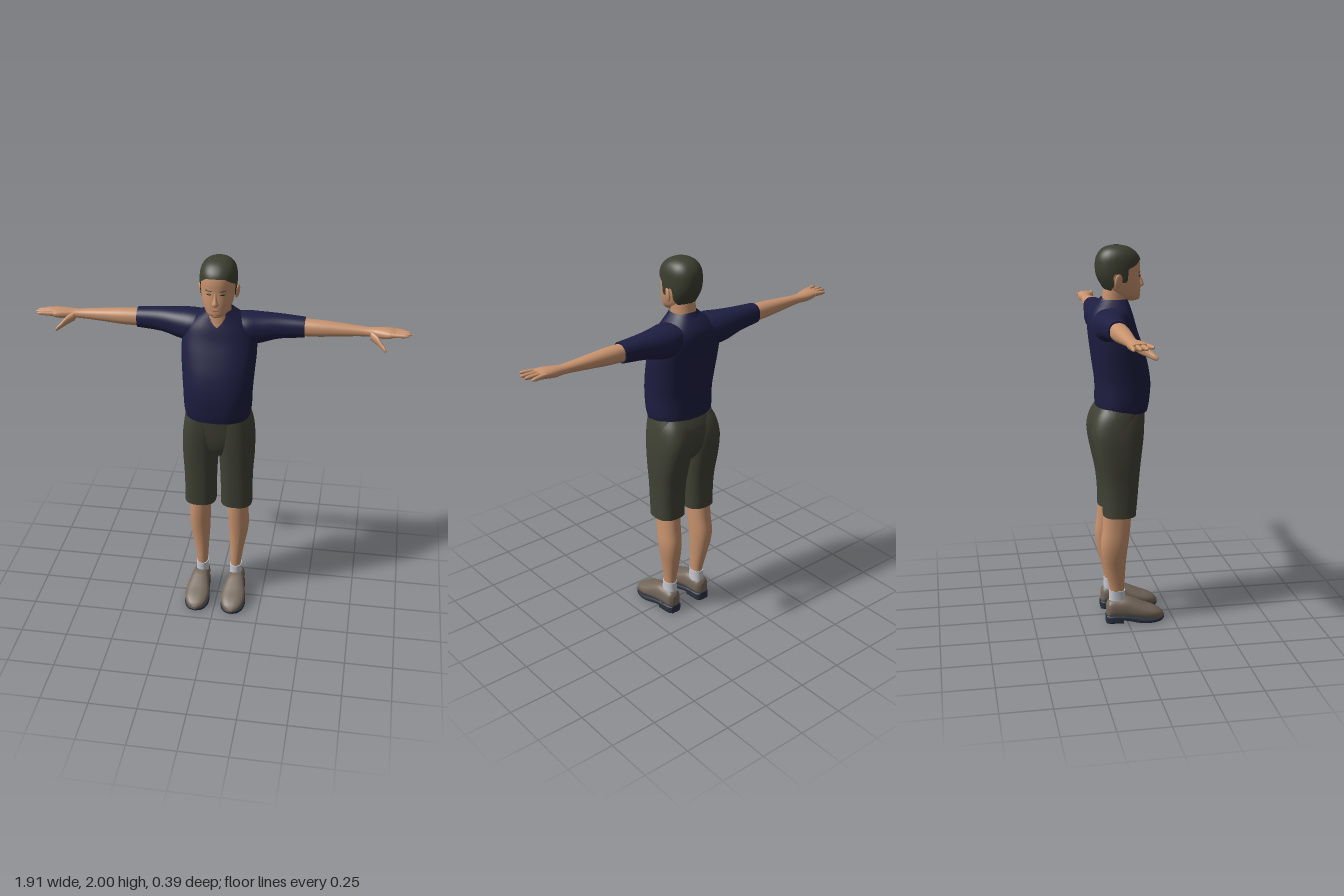
import * as THREE from 'three';

const mat = (name, color) => Object.assign(new THREE.MeshStandardMaterial({ color }), { name });

// Smooth interpolation of sections [t, u0, u1, v0, v1] at t
function at(S, t) {
  let i = 0;
  while (i < S.length - 2 && t > S[i + 1][0]) i++;
  const slope = (k, c) => {
    const a = S[Math.max(k - 1, 0)], b = S[Math.min(k + 1, S.length - 1)];
    return (b[c] - a[c]) / (b[0] - a[0]);
  };
  const A = S[i], B = S[i + 1], h = B[0] - A[0];
  const s = Math.min(1, Math.max(0, (t - A[0]) / h)), s2 = s * s, s3 = s2 * s;
  return [1, 2, 3, 4].map(c => (2 * s3 - 3 * s2 + 1) * A[c] + (s3 - 2 * s2 + s) * h * slope(i, c)
    + (3 * s2 - 2 * s3) * B[c] + (s3 - s2) * h * slope(i + 1, c));
}

// Skin through rounded sections along an axis; u and v are the next two axes in cyclic order
function loft(axis, S, o = {}) {
  const { seg = 40, rows = 28, p = 2.2, grow = 0, cap = true, warp } = o;
  const first = S[0][0], last = S[S.length - 1][0];
  const lo = o.lo || (() => first), hi = o.hi || (() => last);
  const pos = [], idx = [];
  const k = 'xyz'.indexOf(axis);
  const put = (t, u, v) => {
    const q = new THREE.Vector3().setComponent(k, t).setComponent((k + 1) % 3, u).setComponent((k + 2) % 3, v);
    if (warp) warp(q);
    pos.push(q.x, q.y, q.z);
  };
  const pw = c => Math.sign(c) * Math.abs(c) ** (2 / p);
  const ring = r => {
    for (let j = 0; j < seg; j++) {
      const a = j / seg * Math.PI * 2, f = (1 - Math.cos(Math.PI * r / rows)) / 2;
      const t = lo(a) + (hi(a) - lo(a)) * f;
      const [u0, u1, v0, v1] = at(S, t);
      put(t + grow * f * f, (u0 + u1) / 2 + ((u1 - u0) / 2 + grow) * pw(Math.cos(a)),
        (v0 + v1) / 2 + ((v1 - v0) / 2 + grow) * pw(Math.sin(a)));
    }
  };
  for (let r = 0; r <= rows; r++) ring(r);
  for (let r = 0; r < rows; r++) for (let j = 0; j < seg; j++) {
    const a = r * seg + j, b = r * seg + (j + 1) % seg;
    idx.push(a, b, b + seg, a, b + seg, a + seg);
  }
  if (cap) for (const r of [0, rows]) {
    const base = pos.length / 3, s = r ? S[S.length - 1] : S[0];
    ring(r);
    put(s[0] + (r ? grow : 0), (s[1] + s[2]) / 2, (s[3] + s[4]) / 2);
    for (let j = 0; j < seg; j++) {
      const a = base + j, b = base + (j + 1) % seg;
      idx.push(...(r ? [a, b, base + seg] : [b, a, base + seg]));
    }
  }
  const g = new THREE.BufferGeometry();
  g.setAttribute('position', new THREE.Float32BufferAttribute(pos, 3));
  g.setIndex(idx);
  g.computeVertexNormals();
  return g;
}

// Geometry reflected across x = 0
function mirror(geo) {
  const g = geo.clone().scale(-1, 1, 1), a = g.index.array;
  for (let i = 0; i < a.length; i += 3) [a[i], a[i + 1]] = [a[i + 1], a[i]];
  g.computeVertexNormals();
  return g;
}

const sym = rows => rows.map(([y, z0, z1, h]) => [y, z0, z1, -h, h]);
const fold = a => (a > Math.PI ? 2 * Math.PI - a : a); // angle away from the front

export function createModel() {
  const root = new THREE.Group();
  root.name = 'standingMan';
  const skin = mat('skin', 0xc8936e), shirt = mat('navyCloth', 0x1e1e42), shorts = mat('oliveCloth', 0x414235);
  const hair = mat('hair', 0x3c3e30), leather = mat('shoeLeather', 0x75685b), rubber = mat('soleRubber', 0x2a313f);
  const wool = mat('sockWool', 0xc6c8d0), lip = mat('lips', 0xa86e58), dark = mat('eyes', 0x3a2a22);
  shirt.side = hair.side = THREE.DoubleSide;

  const add = (name, geo, m) => {
    const mesh = new THREE.Mesh(geo, m);
    mesh.name = name;
    root.add(mesh);
  };
  const pair = (name, geo, m) => {
    add(name + 'Left', geo, m);
    add(name + 'Right', mirror(geo), m);
  };
  const blob = (sx, sy, sz, x, y, z, ry = 0, rz = 0) =>
    new THREE.SphereGeometry(1, 20, 14).scale(sx, sy, sz).rotateZ(rz).rotateY(ry).translate(x, y, z);

  // Head and neck
  const H = sym([[1.72, 0.01, 0.06, 0.025], [1.735, -0.03, 0.079, 0.048], [1.76, -0.08, 0.082, 0.066],
    [1.8, -0.113, 0.083, 0.078], [1.85, -0.138, 0.08, 0.085], [1.9, -0.143, 0.081, 0.087],
    [1.94, -0.136, 0.072, 0.083], [1.97, -0.115, 0.045, 0.067], [1.988, -0.085, 0.01, 0.04], [1.995, -0.05, -0.03, 0.01]]);
  add('head', loft('y', H, { rows: 36, seg: 48 }), skin);
  add('neck', loft('y', sym([[1.6, -0.13, 0.02, 0.065], [1.7, -0.115, 0.012, 0.06], [1.78, -0.105, 0.02, 0.062]])), skin);

  // Hair, with its lower edge set by the angle round the head
  const line = [[0, 1.927], [0.5, 1.924], [0.9, 1.9], [1.25, 1.885], [1.35, 1.82], [1.6, 1.815], [1.66, 1.86],
    [1.85, 1.86], [2.0, 1.8], [2.5, 1.765], [3.15, 1.755]];
  const hairline = a => {
    const f = fold(a);
    const i = Math.max(1, line.findIndex(q => q[0] >= f));
    const [a0, y0] = line[i - 1], [a1, y1] = line[i];
    return y0 + (y1 - y0) * (f - a0) / (a1 - a0);
  };
  add('hair', loft('y', H, { seg: 80, rows: 36, grow: 0.005, lo: hairline, cap: false }), hair);
  add('hairCrown', blob(0.03, 0.003, 0.028, 0, 1.997, -0.04), hair);

  // Face
  const faceZ = (x, y) => {
    const [z0, z1, , h] = at(H, y);
    return (z0 + z1) / 2 + (z1 - z0) / 2 * (1 - (x / h) ** 2.2) ** (1 / 2.2);
  };
  add('nose', loft('y', sym([[1.784, 0.06, 0.083, 0.01], [1.793, 0.06, 0.1, 0.017], [1.803, 0.06, 0.102, 0.015],
    [1.825, 0.06, 0.093, 0.009], [1.855, 0.055, 0.083, 0.006]]), { seg: 20, rows: 14 }), skin);
  pair('eye', blob(0.013, 0.0045, 0.004, 0.034, 1.846, faceZ(0.034, 1.846), 0.4), dark);
  pair('eyebrow', blob(0.018, 0.003, 0.004, 0.036, 1.864, faceZ(0.036, 1.864), 0.4, 0.05), hair);
  add('mouth', blob(0.022, 0.005, 0.005, 0, 1.768, faceZ(0, 1.768)), lip);
  add('chin', blob(0.026, 0.017, 0.018, 0, 1.738, 0.063), skin);
  pair('ear', blob(0.009, 0.036, 0.021, 0.092, 1.826, -0.042, -0.3, -0.14), skin);

  // Shirt body with a V neck, collar and sleeves
  const vee = (top, depth) => a => top - depth * Math.max(0, 1 - fold(a) / 0.55);
  add('shirtBody', loft('y', sym([[1.155, -0.148, 0.116, 0.165], [1.2, -0.152, 0.125, 0.174], [1.3, -0.152, 0.132, 0.178],
    [1.4, -0.165, 0.117, 0.185], [1.5, -0.178, 0.087, 0.192], [1.58, -0.186, 0.06, 0.187], [1.64, -0.183, 0.044, 0.165],
    [1.68, -0.165, 0.032, 0.125], [1.71, -0.14, 0.024, 0.088], [1.73, -0.12, 0.018, 0.066]]),
    { seg: 64, rows: 44, p: 2.4, cap: false, hi: vee(1.73, 0.075) }), shirt);
  add('shirtHem', loft('y', sym([[1.158, -0.14, 0.108, 0.158], [1.17, -0.14, 0.108, 0.158]]), { rows: 2, p: 2.4 }), shirt);
  add('collar', loft('y', sym([[1.68, -0.14, 0.04, 0.088], [1.7, -0.13, 0.03, 0.076], [1.717, -0.122, 0.022, 0.067]]),
    { rows: 8, cap: false, hi: vee(1.717, 0.036), warp: q => { q.y += (-0.05 - q.z) * 0.3; } }), shirt);
  pair('sleeve', loft('x', [[0.05, 1.57, 1.69, -0.16, 0], [0.14, 1.535, 1.697, -0.178, 0.008], [0.2, 1.54, 1.693, -0.178, -0.01],
    [0.3, 1.565, 1.688, -0.165, -0.038], [0.427, 1.578, 1.68, -0.15, -0.05]], { p: 2.3 }), shirt);

  // Forearms and palms
  pair('forearm', loft('x', [[0.4, 1.585, 1.672, -0.143, -0.056], [0.5, 1.588, 1.67, -0.14, -0.055],
    [0.6, 1.597, 1.663, -0.133, -0.06], [0.75, 1.608, 1.652, -0.12, -0.065], [0.8, 1.605, 1.656, -0.125, -0.05],
    [0.85, 1.613, 1.657, -0.126, -0.035], [0.88, 1.625, 1.652, -0.12, -0.042]], { p: 2.3 }), skin);

  // Fingers: base z, tip z, tip x, tip y
  [['little', -0.115, -0.117, 0.93, 1.632], ['ring', -0.093, -0.09, 0.953, 1.638],
    ['middle', -0.07, -0.062, 0.956, 1.64], ['index', -0.047, -0.032, 0.94, 1.644]].forEach(([name, zb, zt, xt, yt]) => {
    const sec = [[0, 0.012], [0.5, 0.0105], [0.85, 0.0085], [1, 0.003]].map(([f, r]) => {
      const y = 1.638 + (yt - 1.638) * f, z = zb + (zt - zb) * f;
      return [0.855 + (xt - 0.855) * f, y - r, y + r, z - r, z + r];
    });
    pair(name + 'Finger', loft('x', sec, { seg: 14, rows: 12 }), skin);
  });
  pair('thumb', loft('x', [[0.755, 0.024, 1.622, -0.075], [0.79, 0.023, 1.607, -0.047], [0.815, 0.015, 1.588, -0.018],
    [0.832, 0.011, 1.577, 0], [0.838, 0.003, 1.573, 0.006]].map(([x, r, y, z]) => [x, y - r, y + r, z - r, z + r]),
    { seg: 16, rows: 14 }), skin);

  // Shorts
  add('shortsSeat', loft('y', sym([[0.93, -0.12, 0.05, 0.06], [0.98, -0.155, 0.07, 0.13], [1.05, -0.175, 0.084, 0.18],
    [1.12, -0.172, 0.092, 0.178], [1.19, -0.145, 0.1, 0.163]]), { p: 2.5 }), shorts);
  pair('shortsLeg', loft('y', [[0.605, -0.128, 0.043, 0.014, 0.183], [0.7, -0.13, 0.052, 0.013, 0.182],
    [0.8, -0.14, 0.06, 0.01, 0.184], [0.9, -0.161, 0.07, 0.004, 0.19], [1.0, -0.181, 0.082, -0.004, 0.19],
    [1.06, -0.185, 0.087, -0.008, 0.186], [1.13, -0.168, 0.09, -0.01, 0.174], [1.18, -0.14, 0.09, -0.01, 0.155]], { p: 2.5 }), shorts);

  // Lower legs and socks
  pair('lowerLeg', loft('y', [[0.15, -0.09, -0.018, 0.068, 0.122], [0.2, -0.096, -0.015, 0.065, 0.125],
    [0.3, -0.12, -0.011, 0.06, 0.14], [0.38, -0.137, -0.005, 0.055, 0.156], [0.45, -0.142, 0.004, 0.052, 0.163],
    [0.53, -0.132, 0.014, 0.05, 0.16], [0.65, -0.125, 0.022, 0.048, 0.155]]), skin);
  pair('sock', loft('y', [[0.1, -0.1, -0.005, 0.06, 0.13], [0.14, -0.098, -0.01, 0.062, 0.128],
    [0.178, -0.097, -0.011, 0.062, 0.128]], { rows: 8 }), wool);

  // Shoes and soles
  pair('shoe', loft('z', [[-0.113, 0.08, 0.12, 0.035, 0.105], [-0.1, 0.061, 0.139, 0.03, 0.125], [-0.05, 0.054, 0.146, 0.028, 0.132],
    [0, 0.049, 0.152, 0.026, 0.136], [0.05, 0.041, 0.161, 0.022, 0.115], [0.1, 0.035, 0.167, 0.018, 0.091],
    [0.15, 0.042, 0.159, 0.014, 0.071], [0.185, 0.064, 0.137, 0.012, 0.05], [0.2, 0.092, 0.11, 0.015, 0.03]], { p: 2.5 }), leather);
  pair('heel', loft('z', [[-0.115, 0.07, 0.13, 0, 0.045], [-0.1, 0.058, 0.142, 0, 0.045], [-0.025, 0.05, 0.15, 0, 0.045]],
    { p: 6, rows: 14 }), rubber);
  pair('sole', loft('z', [[-0.06, 0.053, 0.148, 0.02, 0.045], [0, 0.047, 0.154, 0.014, 0.042], [0.05, 0.039, 0.163, 0.004, 0.034],
    [0.1, 0.034, 0.169, 0, 0.026], [0.15, 0.041, 0.16, 0, 0.021], [0.185, 0.063, 0.138, 0.003, 0.02],
    [0.2, 0.09, 0.112, 0.008, 0.02]], { p: 5 }), rubber);

  return root;
}
